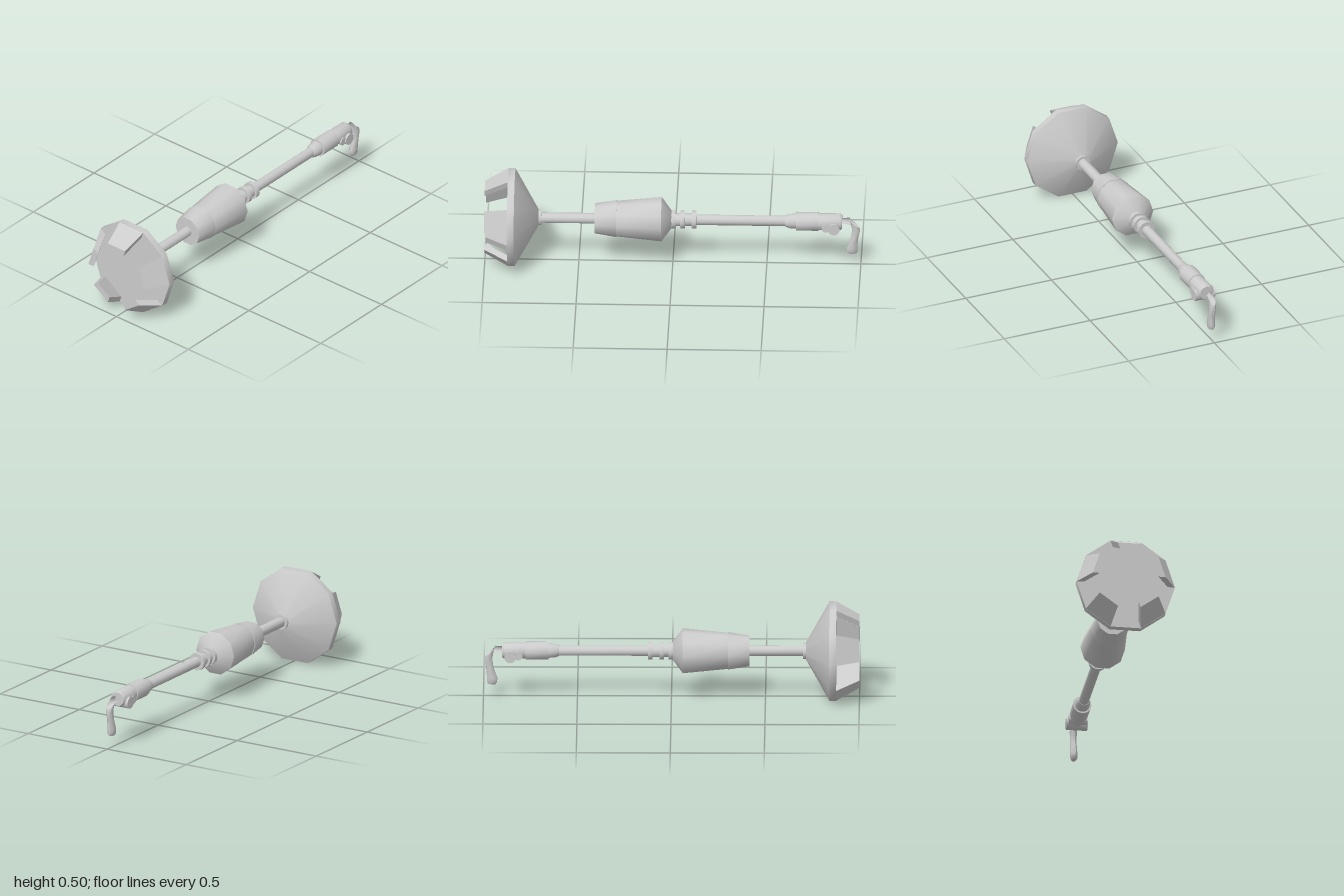
import * as THREE from 'three';
import { toCreasedNormals } from 'three/addons/utils/BufferGeometryUtils.js';

const AXIS = 0.252; // height of the long axis

export function createModel() {
  const model = new THREE.Group();
  model.name = 'cuppedStaff';
  const mat = new THREE.MeshStandardMaterial({ color: 0xcccccc });

  const add = (name, geo) => {
    const mesh = new THREE.Mesh(toCreasedNormals(geo, 0.7), mat);
    mesh.name = name;
    model.add(mesh);
    return mesh;
  };

  // Turned part along z; profile is [radius, z] from back to front
  const turned = (name, profile, sides = 10) => {
    const pts = profile.map(([r, z]) => new THREE.Vector2(r, z));
    const geo = new THREE.LatheGeometry(pts, sides, Math.PI / 2);
    geo.rotateX(Math.PI / 2);
    add(name, geo).position.y = AXIS;
  };

  // Flared head with a flat front
  turned('headDisc', [[0, 0.715], [0.045, 0.715], [0.265, 0.84], [0.265, 0.877], [0, 0.877]]);
  turned('headCollar', [[0, 0.7], [0.042, 0.7], [0.042, 0.73], [0, 0.73]]);

  // Five inward-leaning claws on alternate rim sides
  const tan = Math.tan(Math.PI / 10);
  for (let i = 0; i < 5; i++) {
    const geo = new THREE.BoxGeometry(1, 1, 1);
    const p = geo.attributes.position;
    for (let v = 0; v < p.count; v++) {
      const front = p.getZ(v) > 0;
      const outer = p.getY(v) > 0;
      const r = (front ? 0.186 : 0.252) - (outer ? 0 : 0.036);
      p.setXYZ(v, Math.sign(p.getX(v)) * r * tan, r, front ? 1 : 0.875);
    }
    const claw = add('claw' + (i + 1), geo);
    claw.position.y = AXIS;
    claw.rotation.z = (i * Math.PI * 2) / 5;
  }

  // Shaft
  turned('shaft', [[0, -0.62], [0.028, -0.62], [0.028, 0.72], [0, 0.72]], 12);

  // Grip: tapered body and stepped front sleeve
  turned('gripBody', [[0, 0.005], [0.045, 0.005], [0.12, 0.06], [0.096, 0.305], [0, 0.305]]);
  turned('gripSleeve', [[0, 0.3], [0.1, 0.3], [0.082, 0.415], [0, 0.415]]);

  // Rings behind the grip
  turned('ringCore', [[0, -0.115], [0.034, -0.115], [0.034, 0.01], [0, 0.01]], 12);
  for (const z of [-0.003, -0.052, -0.113]) {
    turned('ring', [[0, z - 0.012], [0.048, z - 0.012], [0.048, z + 0.012], [0, z + 0.012]], 12);
  }

  // Rear socket
  turned('socketTaper', [[0, -0.66], [0.041, -0.66], [0.038, -0.62], [0.03, -0.597], [0, -0.597]], 12);
  turned('socketSleeve', [[0, -0.775], [0.05, -0.775], [0.05, -0.655], [0, -0.655]], 12);
  turned('socketEnd', [[0, -0.9], [0.038, -0.9], [0.045, -0.89], [0.045, -0.77], [0, -0.77]], 12);

  // Cross pins through the socket
  for (const [name, r, half, y, z] of [['pivotPin', 0.032, 0.057, 0.23, -0.857], ['lockPin', 0.023, 0.05, 0.234, -0.815]]) {
    const geo = new THREE.CylinderGeometry(r, r, half * 2, 12);
    geo.rotateZ(Math.PI / 2);
    add(name, geo).position.set(0, y, z);
  }

  // Bent handle: oval sections [z, y, in-plane radius, x radius, tilt of section]
  const sections = [
    [-0.89, 0.257, 0.018, 0.013, Math.PI / 2],
    [-0.925, 0.257, 0.018, 0.013, Math.PI / 2],
    [-0.945, 0.255, 0.025, 0.018, 1.2],
    [-0.967, 0.24, 0.031, 0.02, 0.7],
    [-0.975, 0.203, 0.022, 0.018, 0],
    [-0.966, 0.155, 0.021, 0.018, -0.1],
    [-0.953, 0.1, 0.029, 0.02, -0.1],
    [-0.955, 0.077, 0.028, 0.019, -0.1],
    [-0.957, 0.066, 0.021, 0.013, -0.1],
  ];
  const N = 10;
  const pos = [];
  const idx = [];
  for (const [z, y, r, rx, tilt] of sections) {
    for (let k = 0; k < N; k++) {
      const a = (k / N) * Math.PI * 2;
      const s = r * Math.sin(a);
      pos.push(rx * Math.cos(a), y - s * Math.sin(tilt), z - s * Math.cos(tilt));
    }
  }
  for (let i = 0; i < sections.length - 1; i++) {
    for (let k = 0; k < N; k++) {
      const a = i * N + k;
      const b = i * N + ((k + 1) % N);
      idx.push(a, a + N, b, b, a + N, b + N);
    }
  }
  // End caps
  const last = (sections.length - 1) * N;
  for (let k = 1; k < N - 1; k++) {
    idx.push(0, k, k + 1);
    idx.push(last, last + k + 1, last + k);
  }
  // Keep the faces pointing outwards
  const handle = new THREE.BufferGeometry();
  handle.setAttribute('position', new THREE.Float32BufferAttribute(pos, 3));
  handle.setIndex(orientOutward(pos, idx));
  add('handle', handle);

  return model;
}

// Flips the winding of a closed surface if its signed volume is negative
function orientOutward(pos, idx) {
  const at = (i) => new THREE.Vector3().fromArray(pos, i * 3);
  let volume = 0;
  for (let i = 0; i < idx.length; i += 3) {
    volume += at(idx[i]).dot(at(idx[i + 1]).cross(at(idx[i + 2])));
  }
  return volume < 0 ? idx.slice().reverse() : idx;
}
